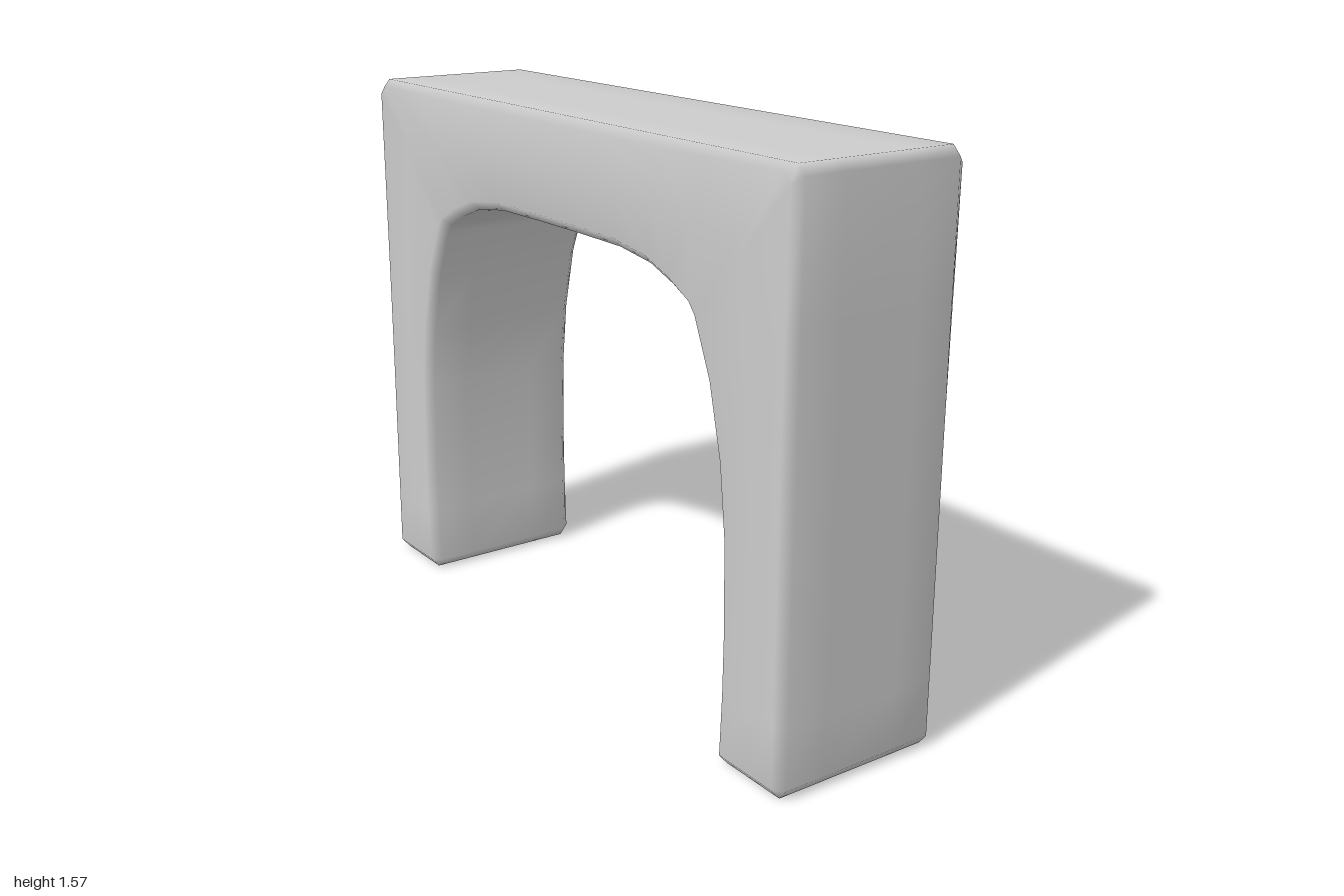
import * as THREE from 'three';
import { mergeVertices } from 'three/addons/utils/BufferGeometryUtils.js';

const W = 0.264;   // half width
const B = 0.026;   // bevel size

// Stations from the front foot to the crown: [outer z, outer y, inner z, inner y]
const halfArch = [
  [1, 0.03, 0.742, 0.03],
  [1, 0.2, 0.75, 0.2],
  [1, 0.4, 0.753, 0.38],
  [1, 0.65, 0.748, 0.62],
  [1, 0.9, 0.727, 0.81],
  [1, 1.2, 0.684, 0.997],
  [1, 1.545, 0.625, 1.142],
  [0.975, 1.571, 0.6, 1.172],
  [0.72, 1.571, 0.52, 1.212],
  [0.5, 1.571, 0.426, 1.246],
  [0.3, 1.571, 0.292, 1.264],
  [0.1, 1.571, 0.1, 1.266],
];
const foot = [0.976, 0, 0.766, 0];

// Bevelled rectangle spanning one station, as a closed ring of [x, y, z]
function ring([oz, oy, iz, iy], w, bevel) {
  const length = Math.hypot(oz - iz, oy - iy);
  const k = bevel / length;
  const flat = w - bevel;
  const half = [
    [-flat, 0], [-flat / 2, 0], [flat / 2, 0], [flat, 0],
    [w, k], [w, 0.5],
  ];
  // the inner half is the outer half turned by 180 degrees
  const section = [...half, ...half.map(([x, t]) => [-x, 1 - t])];
  // close the bevels on both flanks
  section.splice(6, 0, [w, 1 - k]);
  section.push([-w, k]);
  return section.map(([x, t]) => [x, oy + (iy - oy) * t, oz + (iz - oz) * t]);
}

function archGeometry() {
  const mirror = ([oz, oy, iz, iy]) => [-oz, oy, -iz, iy];
  const stations = [...halfArch, ...halfArch.map(mirror).reverse()];
  const rings = [
    ring(foot, W - B, 0),
    ...stations.map((s) => ring(s, W, B)),
    ring(mirror(foot), W - B, 0),
  ];
  const n = rings[0].length;
  const last = rings.length - 1;
  const positions = rings.flat(2);
  const index = [];
  for (let i = 0; i < last; i++) {
    for (let j = 0; j < n; j++) {
      const a = i * n + j, b = i * n + (j + 1) % n;
      index.push(a, b, b + n, a, b + n, a + n);
    }
  }
  // Soles of both feet
  const centre = (foot[0] + foot[2]) / 2;
  const c = rings.length * n;
  positions.push(0, 0, centre, 0, 0, -centre);
  for (let j = 0; j < n; j++) {
    const k = (j + 1) % n;
    index.push(c, k, j, c + 1, last * n + j, last * n + k);
  }
  let geometry = new THREE.BufferGeometry();
  geometry.setAttribute('position', new THREE.Float32BufferAttribute(positions, 3));
  geometry.setIndex(index);
  geometry = mergeVertices(geometry, 1e-4);
  geometry.computeVertexNormals();
  return geometry;
}

export function createModel() {
  const model = new THREE.Group();
  model.name = 'archBlock';
  const arch = new THREE.Mesh(
    archGeometry(),
    new THREE.MeshStandardMaterial({ color: 0xcccccc }),
  );
  arch.name = 'arch';
  model.add(arch);
  return model;
}
